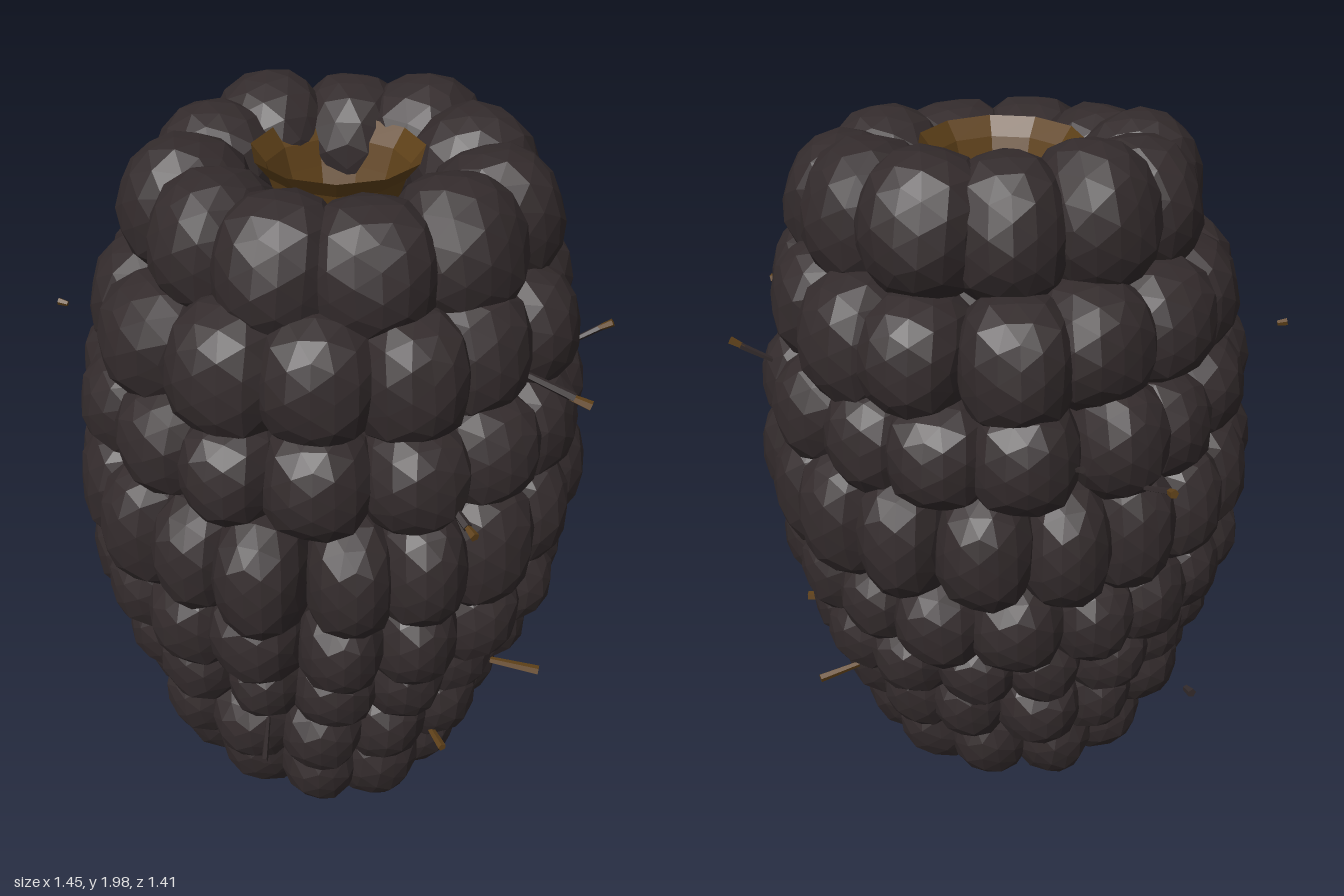
import * as THREE from 'three';
import { mergeGeometries } from 'three/addons/utils/BufferGeometryUtils.js';

const skin = new THREE.MeshStandardMaterial({ color: 0x332b2c, flatShading: true });
skin.name = 'dark skin';
const pith = new THREE.MeshStandardMaterial({ color: 0x5f4119, flatShading: true, side: THREE.DoubleSide });
pith.name = 'brown pith';

let seed = 7;
const rand = () => { seed = (seed * 16807) % 2147483647; return seed / 2147483647; };
const vary = (a) => (rand() * 2 - 1) * a;

// One slightly boxy, uneven drupelet with half sizes sx (around), sy (up), sz (outward)
function drupelet(sx, sy, sz, boxiness) {
  const g = new THREE.IcosahedronGeometry(1, 2);
  g.deleteAttribute('uv');
  const p = g.attributes.position, v = new THREE.Vector3();
  const k = rand() * 6;
  for (let i = 0; i < p.count; i++) {
    v.fromBufferAttribute(p, i);
    const n = Math.abs(v.x) ** boxiness + Math.abs(v.y) ** boxiness + Math.abs(v.z) ** boxiness;
    const bump = 1 + 0.03 * Math.sin(v.x * 5 + k) * Math.cos(v.y * 4 - k + v.z * 3);
    v.multiplyScalar(bump / n ** (1 / boxiness));
    p.setXYZ(i, v.x * sx, v.y * sy, v.z * sz);
  }
  return g;
}

// Rows: height, outer half width in x and z, centre x and z, count, half height, half depth, phase, tilt, boxiness
const rows = [
  [1.785, 0.53, 0.475, 0.02, 0.035, 11, 0.175, 0.165, 0.24, -0.22, 2.25],
  [1.54, 0.61, 0.585, 0.005, 0.03, 14, 0.165, 0.17, -0.1, -0.1, 2.4],
  [1.31, 0.645, 0.625, 0.0, 0.04, 16, 0.148, 0.16, -0.03, -0.05, 2.4],
  [1.06, 0.665, 0.65, -0.01, 0.053, 18, 0.175, 0.16, 0.09, 0, 2.4],
  [0.81, 0.63, 0.6, -0.015, 0.045, 17, 0.142, 0.16, 0.06, 0.08, 2.4],
  [0.62, 0.58, 0.525, -0.015, 0.045, 16, 0.13, 0.16, 0.04, 0.12, 2.4],
  [0.44, 0.51, 0.485, -0.03, 0.06, 14, 0.145, 0.16, 0.0, 0.18, 2.3],
  [0.25, 0.435, 0.405, -0.02, 0.07, 11, 0.16, 0.17, -0.07, 0.35, 2.2],
  [0.158, 0.26, 0.25, 0.0, 0.08, 6, 0.13, 0.14, 0.1, 0.7, 2.1],
];

function drupeletRow([y, rx, rz, cx, cz, count, h, depth, phase, tilt, boxiness], index) {
  const parts = [];
  const width = (Math.PI * (rx + rz) * 0.5 * 1.08) / count;
  for (let i = 0; i < count; i++) {
    const a = phase + ((i + vary(0.1)) / count) * Math.PI * 2;
    const g = drupelet(width * (1 + vary(0.08)), h * (1 + vary(0.06)), depth, boxiness);
    g.rotateX(tilt);
    const out = vary(0.015) - depth;
    g.rotateY(a);
    const z = cz + Math.cos(a) * (rz + out);
    // The crown row rises slightly towards the back
    const rise = index === 0 ? -0.09 * z : 0;
    g.translate(cx + Math.sin(a) * (rx + out), y + vary(0.012) + rise, z);
    parts.push(g);
  }
  const mesh = new THREE.Mesh(mergeGeometries(parts), skin);
  mesh.name = 'drupeletRow' + (index + 1);
  return mesh;
}

// Thin tapered hair between two points
function hair(from, to, radius, material) {
  const a = new THREE.Vector3(...from), b = new THREE.Vector3(...to);
  const mesh = new THREE.Mesh(new THREE.CylinderGeometry(radius, radius * 0.7, a.distanceTo(b), 5), material);
  mesh.position.copy(a).lerp(b, 0.5);
  mesh.quaternion.setFromUnitVectors(new THREE.Vector3(0, 1, 0), b.clone().sub(a).normalize());
  mesh.name = 'hair';
  return mesh;
}

const lathe = (profile, sides, material) =>
  new THREE.Mesh(new THREE.LatheGeometry(profile.map((p) => new THREE.Vector2(...p)), sides), material);

export function createModel() {
  const berry = new THREE.Group();
  berry.name = 'berry';
  rows.forEach((row, i) => berry.add(drupeletRow(row, i)));

  // Solid core behind the drupelets
  const core = lathe([[0, 0.08], [0.2, 0.14], [0.32, 0.3], [0.42, 0.6], [0.52, 1.0], [0.47, 1.45], [0.36, 1.7], [0, 1.73]], 20, skin);
  core.position.z = 0.045;
  core.name = 'core';
  berry.add(core);

  // Hollow at the top: brown wall and dark floor
  const wall = lathe([[0.135, 1.755], [0.155, 1.81], [0.175, 1.87], [0.21, 1.915]], 11, pith);
  wall.position.set(0.012, 0, 0.04);
  wall.name = 'hollowWall';
  const floor = new THREE.Mesh(new THREE.CircleGeometry(0.145, 11), skin);
  floor.rotation.x = -Math.PI / 2;
  floor.position.set(0.012, 1.76, 0.04);
  floor.name = 'hollowFloor';
  berry.add(wall, floor);

  // Dried hairs and loose tips
  const hairs = [
    [[0.58, 1.36, 0], [0.69, 1.425, 0], 0.009, skin],
    [[0.68, 1.42, 0], [0.715, 1.44, 0.005], 0.011, pith],
    [[0.45, 1.5, 0.36], [0.57, 1.45, 0.385], 0.012, skin],
    [[0.56, 1.45, 0.382], [0.61, 1.435, 0.398], 0.013, pith],
    [[0.45, 0.46, 0.21], [0.585, 0.45, 0.24], 0.014, pith],
    [[0.45, 0.475, -0.14], [0.56, 0.46, -0.17], 0.012, pith],
    [[-0.7, 1.43, -0.08], [-0.725, 1.435, -0.085], 0.01, pith],
    [[-0.05, 1.41, -0.7], [-0.058, 1.42, -0.718], 0.009, skin],
    [[-0.25, 1.24, -0.53], [-0.29, 1.27, -0.6], 0.009, skin],
    [[-0.29, 1.27, -0.6], [-0.297, 1.275, -0.622], 0.012, pith],
    [[-0.16, 0.51, 0.5], [-0.16, 0.51, 0.655], 0.009, skin],
    [[-0.42, 0.53, -0.44], [-0.43, 0.535, -0.47], 0.013, skin],
    [[0.27, 1.27, 0.53], [0.32, 1.245, 0.62], 0.012, skin],
    [[0.32, 1.245, 0.62], [0.335, 1.24, 0.65], 0.012, pith],
    [[0.27, 0.35, 0.35], [0.31, 0.35, 0.445], 0.012, pith],
  ];
  hairs.forEach((h) => berry.add(hair(...h)));

  // Rest the lowest drupelets on the ground
  berry.position.y = -new THREE.Box3().setFromObject(berry, true).min.y;
  const model = new THREE.Group();
  model.name = 'model';
  model.add(berry);
  return model;
}
